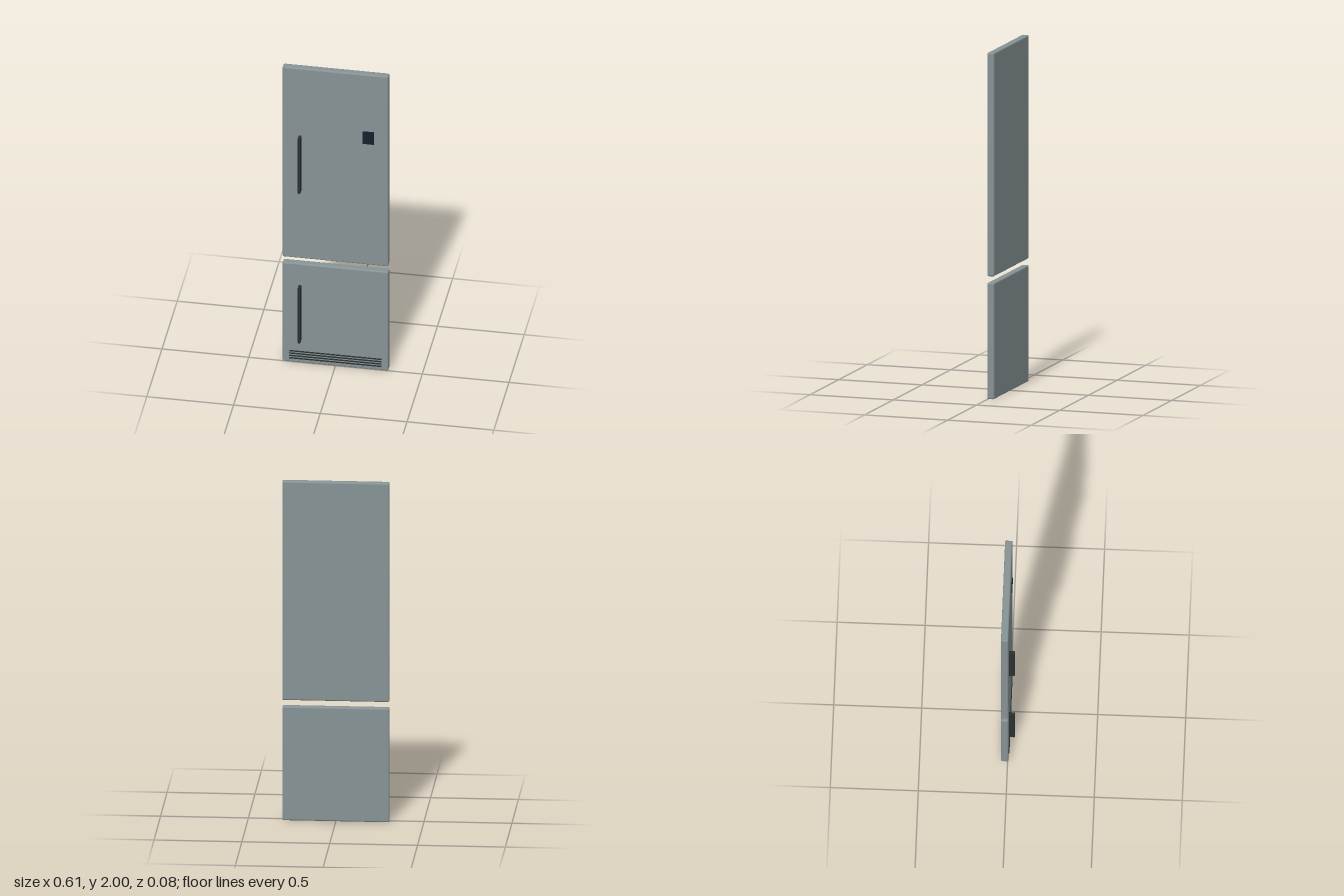
import * as THREE from 'three';
import { RoundedBoxGeometry } from 'three/addons/geometries/RoundedBoxGeometry.js';

export function createModel() {
  const group = new THREE.Group();
  const steel = new THREE.MeshStandardMaterial({ color: 0x879396 });
  const dark = new THREE.MeshStandardMaterial({ color: 0x2b3232 });
  const glass = new THREE.MeshStandardMaterial({ color: 0x14222a });

  // Box given by its limits on each axis; a radius rounds its edges
  const block = (name, material, [x0, x1], [y0, y1], [z0, z1], radius = 0) => {
    const size = [x1 - x0, y1 - y0, z1 - z0];
    const geometry = radius
      ? new RoundedBoxGeometry(...size, 3, radius)
      : new THREE.BoxGeometry(...size);
    const mesh = new THREE.Mesh(geometry, material);
    mesh.name = name;
    mesh.position.set((x0 + x1) / 2, (y0 + y1) / 2, (z0 + z1) / 2);
    group.add(mesh);
  };

  // Door panels
  const front = 0.004;
  const doorX = [-0.305, 0.305];
  const doorZ = [-0.038, front];
  block('upperDoor', steel, doorX, [0.709, 2], doorZ, 0.009);
  block('lowerDoor', steel, doorX, [0, 0.672], doorZ, 0.009);

  // Vertical handles
  const handleX = [-0.212, -0.196];
  const handleZ = [front - 0.003, 0.038];
  block('upperHandle', dark, handleX, [1.166, 1.546], handleZ, 0.006);
  block('lowerHandle', dark, handleX, [0.15, 0.53], handleZ, 0.006);

  // Control display
  block('display', glass, [0.158, 0.222], [1.532, 1.615], [front - 0.002, 0.009]);

  // Vent slats along the bottom
  for (let i = 0; i < 4; i++) {
    const y = 0.029 + i * 0.016;
    block('ventSlat', dark, [-0.265, 0.265], [y - 0.003, y + 0.003], [front - 0.002, 0.009]);
  }

  return group;
}
